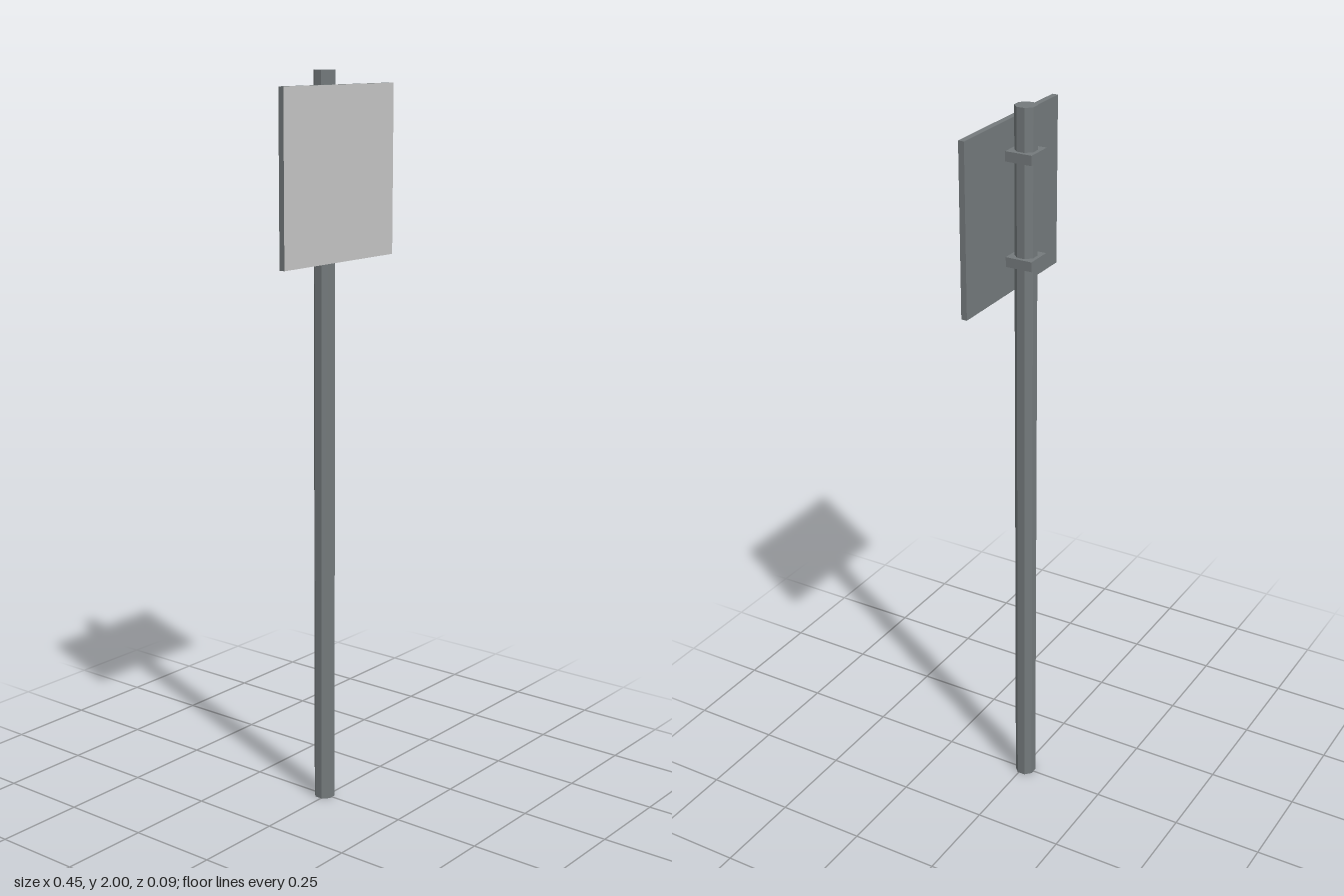
import * as THREE from 'three';

export function createModel() {
  const model = new THREE.Group();
  model.name = 'signPost';

  const metal = new THREE.MeshStandardMaterial({ color: 0x747a7c, flatShading: true });
  metal.name = 'grey metal';
  const face = new THREE.MeshStandardMaterial({ color: 0xc4c4c4 });
  face.name = 'light sign face';

  const add = (name, geometry, material, x, y, z) => {
    const mesh = new THREE.Mesh(geometry, material);
    mesh.name = name;
    mesh.position.set(x, y, z);
    model.add(mesh);
    return mesh;
  };

  // Octagonal pole with a flat side facing forward
  const poleZ = -0.008;
  const radius = 0.0268 / Math.cos(Math.PI / 8);
  const poleGeometry = new THREE.CylinderGeometry(radius, radius, 2, 8).rotateY(Math.PI / 8);
  add('pole', poleGeometry, metal, 0, 1, poleZ);

  // Square clamps joining the pole to the panel
  for (const [name, y] of [['upperClamp', 1.876], ['lowerClamp', 1.602]]) {
    add(name, new THREE.BoxGeometry(0.075, 0.026, 0.074), metal, 0, y, poleZ);
  }

  // Square panel: light front, metal back and edges
  const panelMaterials = [metal, metal, metal, metal, face, metal];
  add('signPanel', new THREE.BoxGeometry(0.452, 0.452, 0.016), panelMaterials, 0, 1.738, 0.037);

  return model;
}
